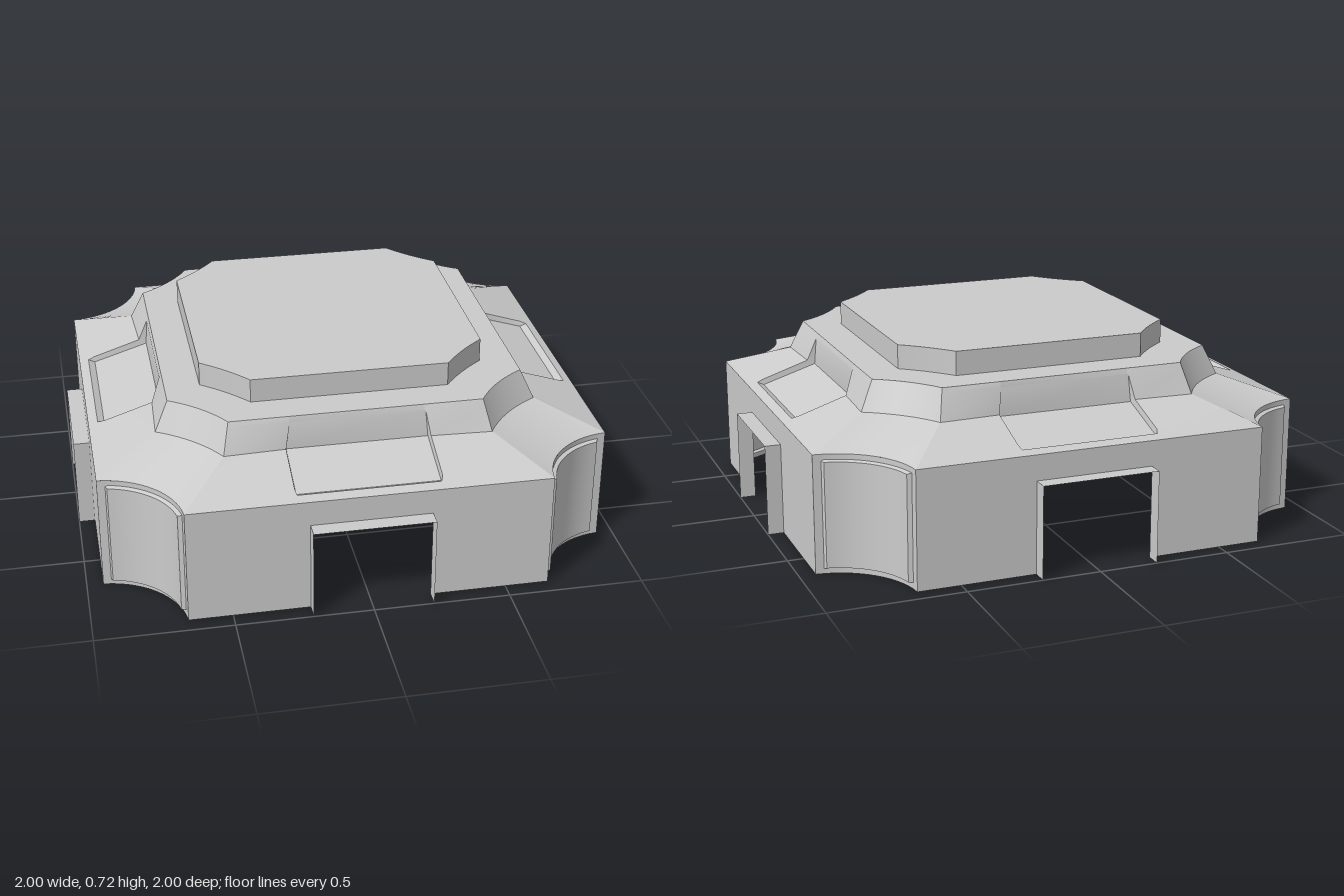
import * as THREE from 'three';
import { toCreasedNormals } from 'three/addons/utils/BufferGeometryUtils.js';

const material = new THREE.MeshStandardMaterial({ color: 0xcccccc, side: THREE.DoubleSide });

// Surface through rows of points; each row runs left to right as seen from outside.
function loft(rows) {
  const n = rows[0].length;
  const index = [];
  for (let i = 0; i < rows.length - 1; i++) {
    for (let j = 0; j < n - 1; j++) {
      const a = i * n + j, b = a + 1, c = a + n, d = c + 1;
      index.push(a, b, d, a, d, c);
    }
  }
  const g = new THREE.BufferGeometry();
  g.setAttribute('position', new THREE.Float32BufferAttribute(rows.flat(2), 3));
  g.setIndex(index);
  return toCreasedNormals(g, 0.4);
}

function part(name, geometry) {
  const mesh = new THREE.Mesh(geometry, material);
  mesh.name = name;
  return mesh;
}

// Scooped corner from (x, z) to (z, x), sagging inwards by s; ts are positions 0..1.
function scoop(x, z, s, y, ts, out = ts.map(() => 0)) {
  const h = (z - x) / Math.SQRT2;
  const r = (h * h + s * s) / (2 * s);
  const c = (x + z) / 2 + (r - s) / Math.SQRT2;
  const half = Math.asin(h / r);
  return ts.map((t, i) => {
    const a = Math.PI * 1.25 - half + 2 * half * t;
    const k = r - out[i];
    // angle grows from the +z end to the +x end
    return [c + k * Math.sin(Math.PI * 2.5 - a), y, c + k * Math.cos(Math.PI * 2.5 - a)].map(Number);
  });
}

const steps = Array.from({ length: 17 }, (_, i) => i / 16);

// Levels of the shell: corner x, side z, corner sag, height
const EAVE = [0.66, 0.94, 0.073, 0.44];
const RING = [0.49, 0.71, 0.022, 0.52];
const DECK = [0.465, 0.66, 0.018, 0.63];
const SLAB_BASE = [0.365, 0.53, 0.008, 0.63];
const SLAB_TOP = [0.365, 0.53, 0.008, 0.72];
const DOOR_W = 0.22, DOOR_H = 0.345;

// One side of the roof with its sunken window panel
function sideRoof() {
  // corner point, outer profile (x, y, z), sunken profile (x, y, z)
  const mix = (a, b, t) => [0, 3, 1].map((k) => a[k] + (b[k] - a[k]) * t);
  const rows = [
    [mix(EAVE, RING, 0), [0.26, 0.44, 0.94], [0.255, 0.44, 0.94]],
    [mix(EAVE, RING, 0.15), [0.26, 0.452, 0.905], [0.255, 0.452, 0.905]],
    [mix(EAVE, RING, 0.26), [0.265, 0.461, 0.88], [0.26, 0.44, 0.88]],
    [mix(EAVE, RING, 1), [0.265, 0.52, 0.7], [0.26, 0.505, 0.672]],
    [mix(RING, DECK, 0.82), [0.25, 0.61, 0.669], [0.245, 0.61, 0.667]],
    [mix(DECK, DECK, 0), [0.25, 0.63, 0.66], [0.245, 0.63, 0.66]],
    [mix(SLAB_BASE, SLAB_BASE, 0), [0.25, 0.63, 0.53], [0.245, 0.63, 0.53]],
    [mix(SLAB_TOP, SLAB_TOP, 0), [0.25, 0.72, 0.53], [0.245, 0.72, 0.53]],
  ];
  return loft(rows.map((half) => [
    ...half.map(([x, y, z]) => [-x, y, z]),
    ...half.slice().reverse(),
  ]));
}

// Scooped corner wall with a slightly raised panel
function cornerWall() {
  const inner = steps.map((t) => 0.09 + 0.82 * t);
  const ts = [0, 0.07, ...inner, 0.93, 1];
  const raised = ts.map((t) => (t > 0.08 && t < 0.92 ? 0.015 : 0));
  const flat = ts.map(() => 0);
  const rows = [[0, 0], [0.02, 0], [0.025, 1], [0.415, 1], [0.42, 0], [0.44, 0]];
  return loft(rows.map(([y, up]) => scoop(EAVE[0], EAVE[1], EAVE[2], y, ts, up ? raised : flat)));
}

// Flat wall with a doorway cut from the bottom edge
function sideWall() {
  const w = EAVE[0], h = EAVE[3];
  const outline = [
    [-w, 0], [-DOOR_W, 0], [-DOOR_W, DOOR_H], [DOOR_W, DOOR_H],
    [DOOR_W, 0], [w, 0], [w, h], [-w, h],
  ];
  const shape = new THREE.Shape(outline.map(([x, y]) => new THREE.Vector2(x, y)));
  return new THREE.ShapeGeometry(shape).translate(0, 0, EAVE[1]);
}

// Thin door surround projecting from the wall
function doorSurround() {
  const path = [[-DOOR_W, 0], [-DOOR_W, DOOR_H], [DOOR_W, DOOR_H], [DOOR_W, 0]];
  return loft([1, EAVE[1]].map((z) => path.map(([x, y]) => [x, y, z])));
}

export function createModel() {
  const model = new THREE.Group();
  model.name = 'shell';

  // Four identical quarters: a side and the corner next to it
  for (let q = 0; q < 4; q++) {
    const quarter = new THREE.Group();
    quarter.name = 'quarter' + (q + 1);
    quarter.rotation.y = q * Math.PI / 2;
    quarter.add(
      part('sideWall', sideWall()),
      part('doorSurround', doorSurround()),
      part('sideRoof', sideRoof()),
      part('cornerWall', cornerWall()),
      part('cornerRoof', loft([EAVE, RING, DECK, SLAB_BASE, SLAB_TOP]
        .map(([x, z, s, y]) => scoop(x, z, s, y, steps)))),
    );
    model.add(quarter);
  }

  // Top of the raised slab
  const [x, z, s, y] = SLAB_TOP;
  const outline = [];
  for (let q = 0; q < 4; q++) {
    for (const p of scoop(x, z, s, y, steps)) {
      outline.push(new THREE.Vector2(p[0], -p[2]).rotateAround(new THREE.Vector2(), q * Math.PI / 2));
    }
  }
  const top = new THREE.ShapeGeometry(new THREE.Shape(outline)).rotateX(-Math.PI / 2).translate(0, y, 0);
  model.add(part('slabTop', top));
  return model;
}
